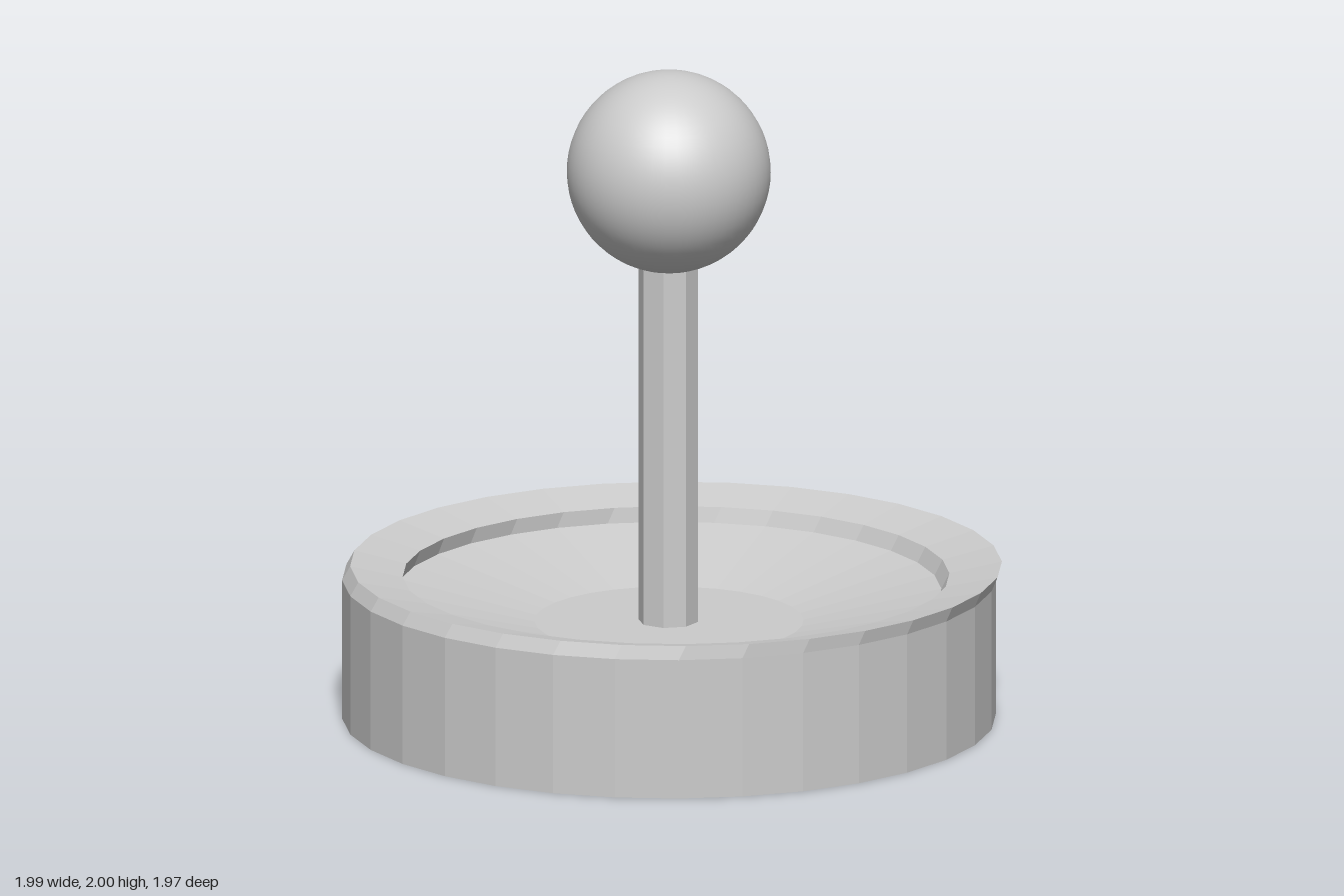
import * as THREE from 'three';

const flat = new THREE.MeshStandardMaterial({ color: 0xcccccc, flatShading: true });
const smooth = new THREE.MeshStandardMaterial({ color: 0xcccccc });

function addPart(group, name, geometry, material, x, y, z) {
  const mesh = new THREE.Mesh(geometry, material);
  mesh.name = name;
  mesh.position.set(x, y, z);
  group.add(mesh);
}

// Round base with a dished top; the rim rings sit slightly off-centre.
function baseGeometry() {
  const profile = [
    [0, 0], [0.984, 0], [0.984, 0.43], // underside and outer wall
    [0.981, 0.472], [0.823, 0.437],    // rim, sloping inward
    [0.82, 0.39], [0.405, 0.297], [0, 0.297], // lip, dish and flat centre
  ].map(([r, y]) => new THREE.Vector2(r, y));
  const geometry = new THREE.LatheGeometry(profile, 32);
  const pos = geometry.attributes.position;
  for (let i = 0; i < pos.count; i++) {
    const ring = i % profile.length;
    if (ring === 3 || ring === 4) {
      pos.setX(i, pos.getX(i) + 0.02);
      pos.setZ(i, pos.getZ(i) - 0.008);
    }
  }
  geometry.computeVertexNormals();
  return geometry;
}

export function createModel() {
  const group = new THREE.Group();
  group.name = 'ballTopStick';

  addPart(group, 'base', baseGeometry(), flat, -0.01, 0, 0.004);

  // Eight-sided shaft running from the dish into the ball
  const shaftBottom = 0.29, shaftTop = 1.45;
  addPart(group, 'shaft',
    new THREE.CylinderGeometry(0.091, 0.091, shaftTop - shaftBottom, 8),
    flat, -0.012, (shaftBottom + shaftTop) / 2, 0.004);

  addPart(group, 'ballKnob', new THREE.SphereGeometry(0.307, 48, 32), smooth, -0.011, 1.693, 0.002);

  return group;
}
